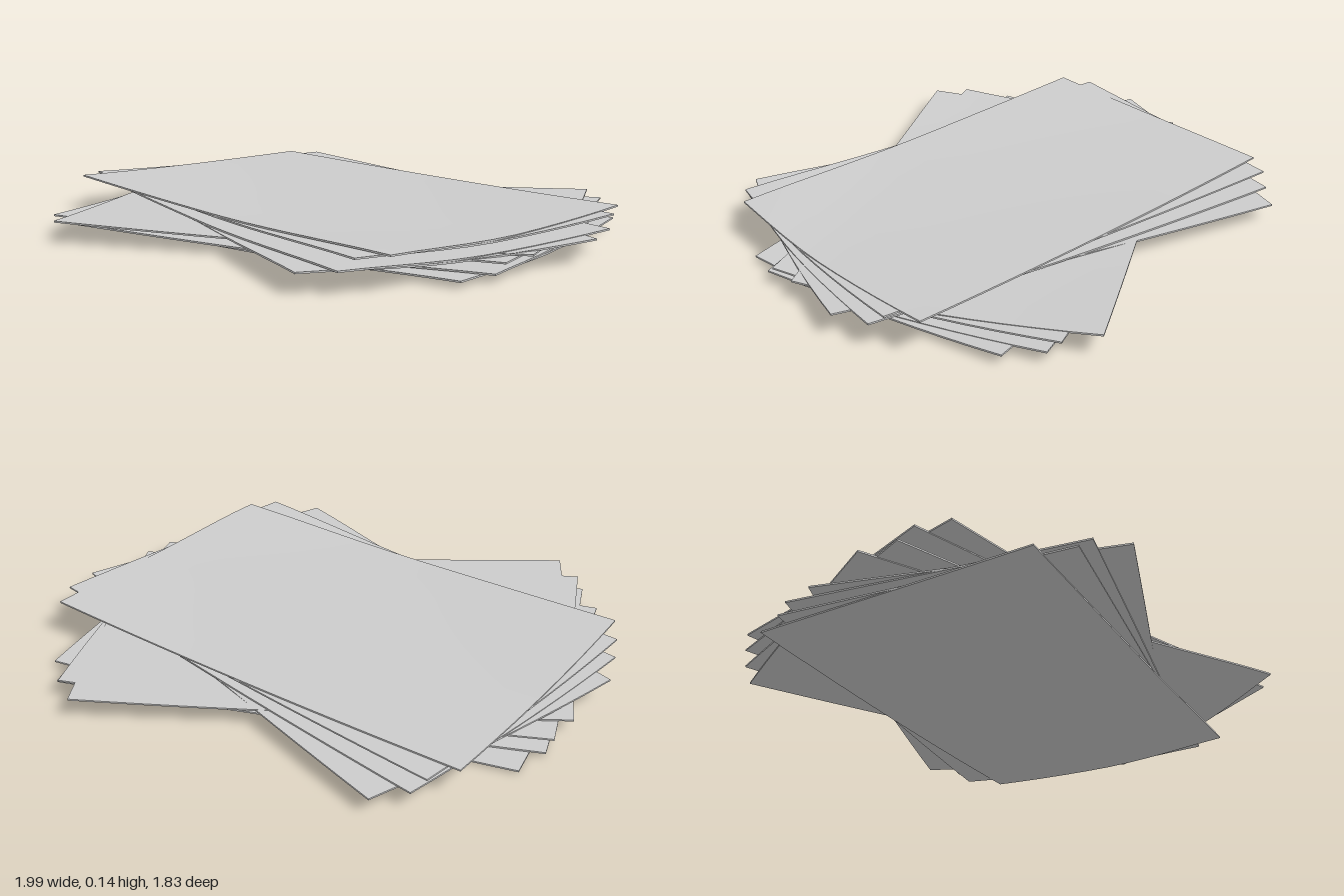
import * as THREE from 'three';

const HALF_W = 0.877, HALF_D = 0.537, THICK = 0.006;

// One sheet: a thin slab sagging along the diagonal from its back-left
// to its front-right corner, with those two corners drawn slightly inwards.
function sheetGeometry() {
  const geo = new THREE.BoxGeometry(HALF_W * 2, THICK, HALF_D * 2, 14, 1, 10);
  const pos = geo.attributes.position;
  for (let i = 0; i < pos.count; i++) {
    const u = pos.getX(i) / HALF_W, v = pos.getZ(i) / HALF_D;
    const across = (u - v) / 2, along = (u + v) / 2;
    const sag = 0.024
      + 0.006 * THREE.MathUtils.smoothstep(along, -1, 0.2)
      - 0.020 * THREE.MathUtils.smoothstep(along, 0.45, 1);
    const front = Math.max(along, 0) ** 2, back = Math.max(-along, 0) ** 2;
    pos.setXYZ(i,
      pos.getX(i) * (1 - 0.088 * front - 0.042 * back),
      pos.getY(i) - sag * (1 - across * across),
      pos.getZ(i) * (1 - 0.037 * front - 0.047 * back));
  }
  geo.computeVertexNormals();
  return geo;
}

// Sheets from bottom to top: [height of the flat corners, turn in degrees]
const BUNDLES = {
  lowerSheets: [[0.033, 13.8], [0.039, 21.5]],
  middleSheets: [[0.070, 24], [0.076, 31.4], [0.081, -17.4], [0.087, -9.7]],
  upperSheets: [[0.127, -6.6], [0.133, 0]],
};

export function createModel() {
  const model = new THREE.Group();
  model.name = 'paperStack';
  const geo = sheetGeometry();
  const material = new THREE.MeshStandardMaterial({ color: 0xcccccc });

  for (const [name, sheets] of Object.entries(BUNDLES)) {
    const bundle = new THREE.Group();
    bundle.name = name;
    sheets.forEach(([y, turn], i) => {
      const sheet = new THREE.Mesh(geo, material);
      sheet.name = `sheet${i + 1}`;
      sheet.position.y = y;
      sheet.rotation.y = THREE.MathUtils.degToRad(turn);
      bundle.add(sheet);
    });
    model.add(bundle);
  }
  return model;
}
